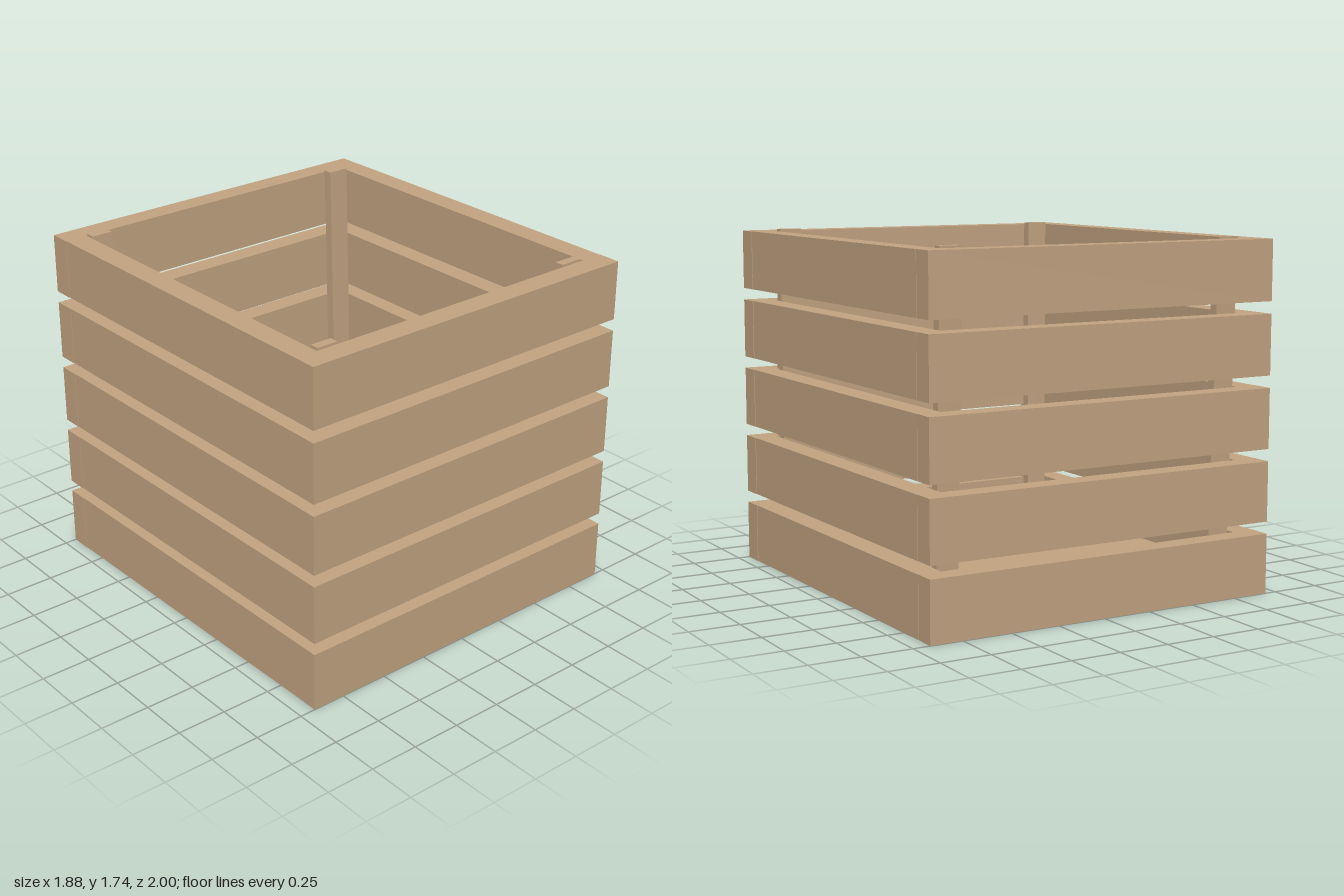
import * as THREE from 'three';

const wood = new THREE.MeshStandardMaterial({ color: 0xc4a582 });
wood.name = 'wood';

// Upright prism from a plan outline of [x, z] corners
function prism(name, plan, y, height) {
  const shape = new THREE.Shape(plan.map(([x, z]) => new THREE.Vector2(x, -z)));
  const geo = new THREE.ExtrudeGeometry(shape, { depth: height, bevelEnabled: false });
  geo.rotateX(-Math.PI / 2);
  geo.translate(0, y, 0);
  const mesh = new THREE.Mesh(geo, wood);
  mesh.name = name;
  return mesh;
}

// Box whose z faces sit at different depths at the foot and at the top
function post(name, x0, x1, foot, top) {
  const y0 = 0.03, y1 = 1.74;
  const geo = new THREE.BoxGeometry(1, 1, 1);
  const p = geo.attributes.position;
  for (let i = 0; i < p.count; i++) {
    const ends = p.getY(i) > 0 ? top : foot;
    const z = p.getZ(i) > 0 ? ends[1] : ends[0];
    p.setXYZ(i, p.getX(i) > 0 ? x1 : x0, p.getY(i) > 0 ? y1 : y0, z);
  }
  geo.computeVertexNormals();
  const mesh = new THREE.Mesh(geo, wood);
  mesh.name = name;
  return mesh;
}

export function createModel() {
  const crate = new THREE.Group();
  crate.name = 'slattedCrate';

  // Plan outlines of the four slats; the side slats run slightly askew
  const zb = -0.89, zf = 0.885;
  const slats = {
    frontSlat: [[-0.92, zf], [0.94, zf], [0.94, 1], [-0.92, 1]],
    backSlat: [[-0.94, -1], [0.915, -1], [0.915, zb], [-0.94, zb]],
    leftSlat: [[0.8, zb], [0.917, zb], [0.937, zf], [0.82, zf]],
    rightSlat: [[-0.937, zb], [-0.82, zb], [-0.805, zf], [-0.92, zf]],
  };

  // Five tiers of slats with gaps between
  for (let i = 0; i < 5; i++) {
    const tier = new THREE.Group();
    tier.name = 'slatTier' + (i + 1);
    for (const [name, plan] of Object.entries(slats)) {
      tier.add(prism(name, plan, i * 0.358, 0.298));
    }
    crate.add(tier);
  }

  // Recessed floor panel
  crate.add(prism('floor', [[-0.82, zb], [0.8, zb], [0.82, zf], [-0.805, zf]], 0.06, 0.06));

  // Inner corner posts
  crate.add(post('frontRightPost', -0.8, -0.69, [0.836, 0.932], [0.836, 0.88]));
  crate.add(post('frontLeftPost', 0.685, 0.8, [0.836, 0.932], [0.836, 0.88]));
  crate.add(post('backRightPost', -0.818, -0.707, [-0.834, -0.785], [-0.885, -0.838]));
  crate.add(post('backLeftPost', 0.685, 0.798, [-0.834, -0.785], [-0.885, -0.838]));

  return crate;
}
